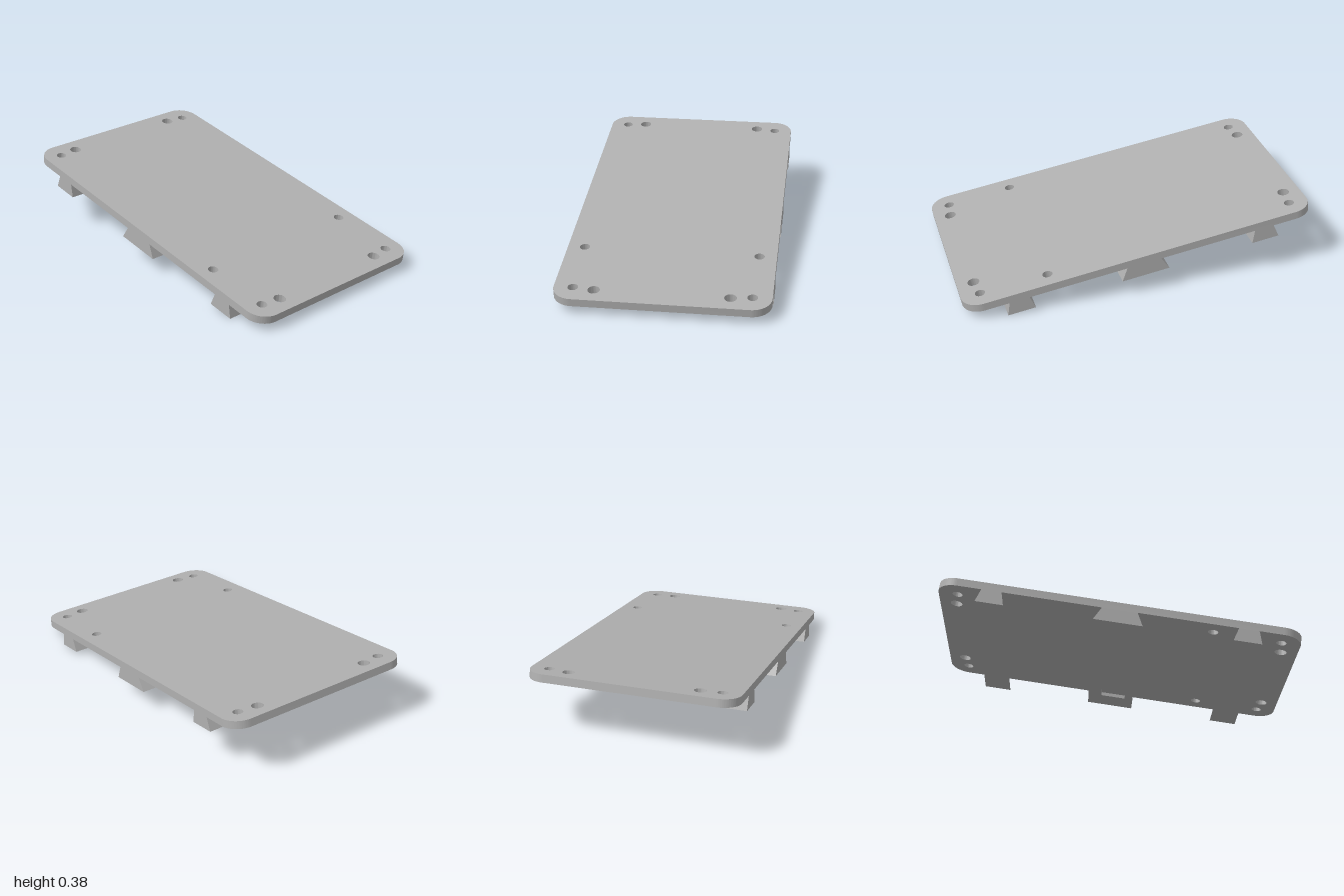
import * as THREE from 'three';
import { toCreasedNormals } from 'three/addons/utils/BufferGeometryUtils.js';

const HALF_W = 0.577, HALF_L = 1.007, THICK = 0.045, CORNER = 0.108;
const TILT = 0.146, CENTRE_Y = 0.213;
const RAIL_BOTTOM = -0.099;

// Rounded rectangle plate with mirrored screw holes
function plateGeometry() {
  const w = HALF_W, l = HALF_L, r = CORNER;
  const shape = new THREE.Shape();
  shape.absarc(w - r, l - r, r, 0, Math.PI / 2);
  shape.absarc(-w + r, l - r, r, Math.PI / 2, Math.PI);
  shape.absarc(-w + r, -l + r, r, Math.PI, Math.PI * 1.5);
  shape.absarc(w - r, -l + r, r, Math.PI * 1.5, Math.PI * 2);
  shape.closePath();
  const holes = [
    [0.474, 0.9, 0.028], [0.36, 0.914, 0.033], [0.482, 0.522, 0.028],
    [0.474, -0.9, 0.028], [0.36, -0.914, 0.033],
  ];
  for (const [x, z, radius] of holes) {
    for (const side of [-1, 1]) {
      const hole = new THREE.Path();
      hole.absarc(side * x, z, radius, 0, Math.PI * 2, true);
      shape.holes.push(hole);
    }
  }
  const geo = new THREE.ExtrudeGeometry(shape, { depth: THICK, bevelEnabled: false, curveSegments: 20 });
  geo.rotateX(Math.PI / 2).translate(0, THICK / 2, 0);
  return toCreasedNormals(geo, 0.6);
}

// Dovetail profile run along x from x0 to x1; groove = [centre, half width, depth]
function railGeometry(centre, halfTop, halfBottom, x0, x1, groove) {
  const top = -THICK / 2, b = RAIL_BOTTOM;
  const points = [[centre + halfTop, top], [centre + halfBottom, b]];
  if (groove) {
    const [c, h, d] = groove;
    points.push([c + h, b], [c + h, b + d], [c - h, b + d], [c - h, b]);
  }
  points.push([centre - halfBottom, b], [centre - halfTop, top]);
  const shape = new THREE.Shape(points.map(([z, y]) => new THREE.Vector2(-z, y)));
  const geo = new THREE.ExtrudeGeometry(shape, { depth: x1 - x0, bevelEnabled: false });
  return geo.rotateY(Math.PI / 2).translate(x0, 0, 0);
}

export function createModel() {
  const model = new THREE.Group();
  model.name = 'slopedMountingPlate';
  const grey = new THREE.MeshStandardMaterial({ color: 0xb0b0b0 });
  grey.name = 'grey';

  const tilted = new THREE.Group();
  tilted.name = 'tiltedPlate';
  tilted.rotation.x = TILT;
  tilted.position.y = CENTRE_Y;
  model.add(tilted);

  const add = (name, geo, parent = tilted) => {
    const mesh = new THREE.Mesh(geo, grey);
    mesh.name = name;
    parent.add(mesh);
  };

  add('plate', plateGeometry());

  // Narrow dovetail rails near both ends
  add('frontRail', railGeometry(0.709, 0.056, 0.078, -HALF_W, HALF_W));
  add('rearRail', railGeometry(-0.706, 0.056, 0.078, -HALF_W, HALF_W));

  // Wide middle rail with a shallow pocket near its left end
  const middle = new THREE.Group();
  middle.name = 'middleRail';
  tilted.add(middle);
  const p0 = 0.33, p1 = 0.44;
  add('middleRailLong', railGeometry(0, 0.098, 0.136, -HALF_W, p0), middle);
  add('middleRailPocket', railGeometry(0, 0.098, 0.136, p0, p1, [0.015, 0.072, 0.02]), middle);
  add('middleRailEnd', railGeometry(0, 0.098, 0.136, p1, HALF_W), middle);

  return model;
}
